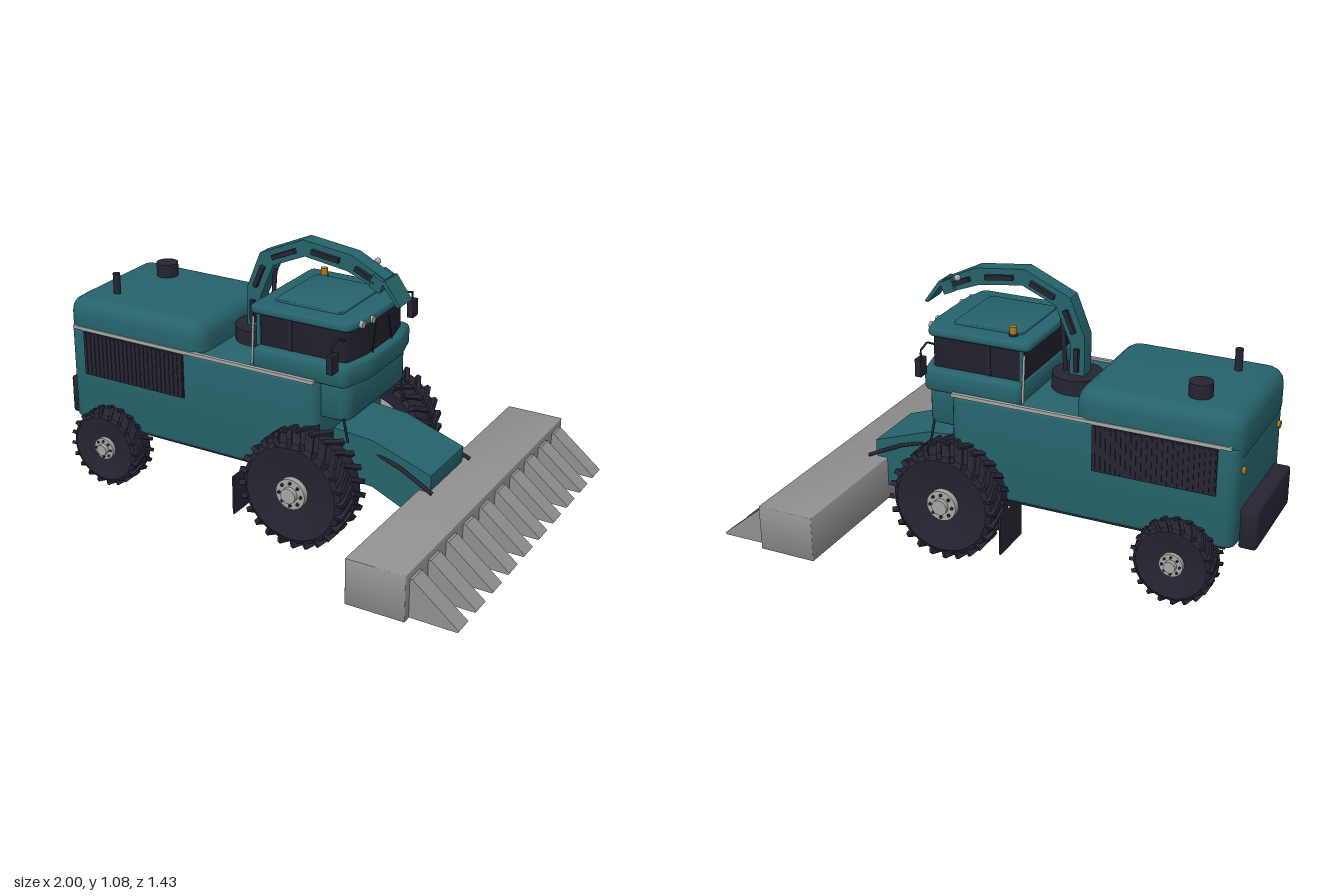
import * as THREE from 'three';
import { mergeGeometries, toCreasedNormals } from 'three/addons/utils/BufferGeometryUtils.js';

export function createModel() {
  const root = new THREE.Group();
  root.name = 'forageHarvester';
  const mat = (name, color, side = THREE.FrontSide) => {
    const m = new THREE.MeshStandardMaterial({ color, side });
    m.name = name;
    return m;
  };
  const teal = mat('teal paint', 0x25636b);
  const dark = mat('dark rubber', 0x252532);
  const glass = mat('tinted glass', 0x201f2b);
  const grey = mat('header grey', 0x8f908d);
  const steel = mat('light steel', 0xa5a5a1);
  const amber = mat('amber', 0xb97a14);

  const add = (name, geo, m, parent = root) => {
    const mesh = new THREE.Mesh(geo, m);
    mesh.name = name;
    parent.add(mesh);
    return mesh;
  };
  // Box from its lower and upper limits
  const box = (name, x0, x1, y0, y1, z0, z1, m, parent) => {
    const mesh = add(name, new THREE.BoxGeometry(x1 - x0, y1 - y0, z1 - z0), m, parent);
    mesh.position.set((x0 + x1) / 2, (y0 + y1) / 2, (z0 + z1) / 2);
    return mesh;
  };
  // Closed shape with rounded corners
  const rounded = (pts, r) => {
    const s = new THREE.Shape();
    const v = pts.map(p => new THREE.Vector2(...p)), n = v.length;
    v.forEach((p, i) => {
      const toward = q => p.clone().add(q.clone().sub(p).setLength(r));
      const a = toward(v[(i + n - 1) % n]), b = toward(v[(i + 1) % n]);
      if (i) s.lineTo(a.x, a.y); else s.moveTo(a.x, a.y);
      s.quadraticCurveTo(p.x, p.y, b.x, b.y);
    });
    s.closePath();
    return s;
  };
  const extrude = (shape, depth, b) => {
    const g = new THREE.ExtrudeGeometry(shape, {
      depth: depth - 2 * b, bevelEnabled: b > 0, bevelThickness: b, bevelSize: b,
      bevelOffset: -b, bevelSegments: 4, curveSegments: 6 });
    return toCreasedNormals(g.translate(0, 0, b), 0.6);
  };
  // Plan outline raised from y0 to y1
  const slab = (name, pts, r, y0, y1, b, m) =>
    add(name, extrude(rounded(pts, r), y1 - y0, b).rotateX(-Math.PI / 2).translate(0, y0, 0), m);
  // Side outline, centred on z
  const profile = (name, pts, width, m, z = 0) =>
    add(name, extrude(new THREE.Shape(pts.map(p => new THREE.Vector2(...p))), width, 0).translate(0, 0, z - width / 2), m);
  const rect = (x0, x1, z) => [[x0, -z], [x1, -z], [x1, z], [x0, z]];
  const rod = (name, pts, r, m) => {
    const path = new THREE.CurvePath();
    for (let i = 1; i < pts.length; i++)
      path.add(new THREE.LineCurve3(new THREE.Vector3(...pts[i - 1]), new THREE.Vector3(...pts[i])));
    return add(name, new THREE.TubeGeometry(path, (pts.length - 1) * 4, r, 8), m);
  };
  const upright = (name, x, z, r, y0, y1, m) => {
    const c = add(name, new THREE.CylinderGeometry(r, r, y1 - y0, 24), m);
    c.position.set(x, (y0 + y1) / 2, z);
    return c;
  };

  // Hull, engine hood and chassis
  slab('hull', rect(-0.935, 0.21, 0.28), 0.05, 0.23, 0.635, 0.02, teal);
  slab('engineHood', rect(-0.945, -0.3, 0.28), 0.08, 0.55, 0.755, 0.06, teal);
  slab('nosePanel', rect(0.1, 0.325, 0.24), 0.05, 0.48, 0.635, 0.02, teal);
  box('chassis', -0.88, 0.2, 0.185, 0.235, -0.2, 0.2, dark);
  slab('rearBumper', rect(-1, -0.93, 0.21), 0.015, 0.21, 0.37, 0.01, dark);
  upright('airIntake', -0.74, -0.14, 0.045, 0.74, 0.81, dark);
  upright('exhaustStack', -0.79, 0.14, 0.015, 0.74, 0.84, dark);

  for (const s of [-1, 1]) {
    // Side grilles with slats, and trim rails
    box('grille', -0.86, -0.38, 0.44, 0.625, s * 0.281 - 0.004, s * 0.281 + 0.004, dark);
    for (let i = 0; i < 24; i++) {
      const x = -0.855 + i * 0.02;
      box('grilleSlat', x, x + 0.01, 0.445, 0.62, s * 0.285 - 0.003, s * 0.285 + 0.003, dark);
    }
    box('trimRail', -0.91, 0.2, 0.628, 0.642, s * 0.276 - 0.008, s * 0.276 + 0.008, steel);
    // Tail lamps and mud flaps
    const lamp = add('tailLamp', new THREE.CylinderGeometry(0.014, 0.014, 0.02, 16).rotateZ(Math.PI / 2), amber);
    lamp.position.set(-0.936, 0.53, s * 0.215);
    box('mudFlap', -0.074, -0.066, 0.08, 0.24, s * 0.33 - 0.09, s * 0.33 + 0.09, dark);
  }

  // Cab with bowed windscreen
  const cabPlan = (x0, x1, bow, z) => [[x0, -z], [x1, -z], [x1 + bow, -z * 0.5], [x1 + bow, z * 0.5], [x1, z], [x0, z]];
  slab('cabBase', cabPlan(-0.08, 0.325, 0.035, 0.265), 0.03, 0.625, 0.715, 0.02, teal);
  slab('cabGlass', cabPlan(-0.07, 0.305, 0.025, 0.222), 0.02, 0.7, 0.845, 0, glass);
  slab('cabRoof', cabPlan(-0.105, 0.32, 0.025, 0.238), 0.03, 0.838, 0.872, 0.012, teal);
  slab('roofHatch', rect(-0.04, 0.25, 0.16), 0.02, 0.865, 0.882, 0.004, teal);
  for (const s of [-1, 1]) {
    box('rearPillar', -0.076, -0.06, 0.7, 0.845, s * 0.22 - 0.008, s * 0.22 + 0.008, teal);
    box('doorPillar', 0.06, 0.075, 0.71, 0.84, s * 0.222 - 0.004, s * 0.222 + 0.004, dark);
    rod('grabRail', [[-0.085, 0.64, s * 0.25], [-0.085, 0.83, s * 0.235]], 0.005, steel);
    rod('wiper', [[0.338, 0.71, s * 0.08], [0.336, 0.82, s * 0.05]], 0.003, dark);
    rod('stepRail', [[0.3, 0.5, s * 0.23], [0.32, 0.4, s * 0.23]], 0.005, dark);
    // Mirrors
    rod('mirrorArm', [[0.3, 0.805, s * 0.225], [0.3, 0.83, s * 0.275], [0.3, 0.815, s * 0.325], [0.3, 0.78, s * 0.325]], 0.004, dark);
    box('mirror', 0.29, 0.315, 0.715, 0.785, s * 0.323 - 0.023, s * 0.323 + 0.023, dark);
    // Roof lamps
    for (const z of [0.1, 0.165]) {
      const lamp = add('roofLamp', new THREE.CylinderGeometry(0.014, 0.014, 0.025, 16).rotateZ(Math.PI / 2), steel);
      lamp.position.set(z < 0.13 ? 0.34 : 0.333, 0.855, s * z);
    }
  }
  upright('beaconBase', -0.01, -0.17, 0.017, 0.865, 0.88, dark);
  upright('beacon', -0.01, -0.17, 0.014, 0.88, 0.908, amber);

  // Discharge spout on its turntable
  upright('turntable', -0.2, 0, 0.1, 0.62, 0.695, dark);
  const outer = [[-0.24, 0.68], [-0.24, 0.85], [-0.18, 1.0], [0.01, 1.085], [0.22, 1.06], [0.36, 0.99]];
  const inner = [[-0.18, 0.68], [-0.18, 0.82], [-0.12, 0.96], [0.02, 1.02], [0.2, 0.995], [0.345, 0.94]];
  profile('spout', [...inner, ...outer.slice().reverse()], 0.066, teal);
  profile('spoutFlap', [[0.35, 0.985], [0.42, 0.895], [0.432, 0.9], [0.368, 0.99]], 0.1, teal);
  profile('spoutMouth', [[0.3, 0.958], [0.345, 0.938], [0.362, 0.985], [0.318, 1.008]], 0.1, teal);
  for (let i = 0; i < outer.length - 1; i++) {
    const mid = k => [(outer[k][0] + inner[k][0]) / 2, (outer[k][1] + inner[k][1]) / 2];
    const a = mid(i), b = mid(i + 1), dx = b[0] - a[0], dy = b[1] - a[1];
    const slot = add('spoutBracket', new THREE.BoxGeometry(Math.hypot(dx, dy) * 0.6, 0.018, 0.1), dark);
    slot.position.set((a[0] + b[0]) / 2, (a[1] + b[1]) / 2, 0);
    slot.rotation.z = Math.atan2(dy, dx);
  }
  rod('spoutRam', [[-0.15, 0.68, 0], [-0.13, 0.94, 0]], 0.009, dark);
  const spoutLamp = add('spoutLamp', new THREE.SphereGeometry(0.013, 14, 10), steel);
  spoutLamp.position.set(0.28, 1.02, -0.06);

  // Feeder housing and lift rams
  profile('feederHouse', [[0.2, 0.2], [0.38, 0.19], [0.58, 0.1], [0.625, 0.25], [0.625, 0.3], [0.38, 0.385], [0.2, 0.4]], 0.285, teal);
  for (const s of [-1, 1])
    rod('liftRam', [[0.36, 0.34, s * 0.13], [0.5, 0.305, s * 0.15], [0.645, 0.24, s * 0.168]], 0.008, dark);

  // Header with ten row dividers
  slab('header', rect(0.575, 0.81, 0.715), 0.006, 0.045, 0.23, 0.004, grey);
  for (let i = 0; i < 10; i++)
    profile('rowDivider', [[0.8, 0.05], [0.995, 0.048], [1, 0.055], [0.82, 0.203], [0.8, 0.203]], 0.075, grey, (i - 4.5) * 0.1435);

  // Wheels: lathed tyre, chevron lugs, hub and bolts
  const wheel = (name, x, y, z, r, w, hubR, lugs, s) => {
    const g = new THREE.Group();
    g.name = name;
    const tyre = [[0.6, -0.45], [0.84, -0.5], [0.92, -0.44], [0.95, -0.3], [0.95, 0.3], [0.92, 0.44], [0.84, 0.5], [0.6, 0.45], [0.35, 0.36], [0, 0.36]];
    add('tyre', toCreasedNormals(new THREE.LatheGeometry(tyre.map(p => new THREE.Vector2(p[0] * r, p[1] * w)), 40).rotateX(Math.PI / 2), 0.5), dark, g);
    const parts = [];
    for (let i = 0; i < lugs * 2; i++) {
      const e = i % 2 ? 1 : -1;
      parts.push(new THREE.BoxGeometry(r * 0.085, r * 0.13, w * 0.56)
        .rotateY(e * 0.5).translate(0, r * 0.93, e * w * 0.245).rotateZ(i * Math.PI / lugs));
    }
    add('treadLugs', mergeGeometries(parts), dark, g);
    const disc = (n, radius, z0, z1, m) =>
      add(n, new THREE.CylinderGeometry(radius, radius, z1 - z0, 28).rotateX(Math.PI / 2).translate(0, 0, (z0 + z1) / 2), m, g);
    disc('innerRim', r * 0.61, -w * 0.42, -w * 0.36, steel);
    disc('hub', hubR, w * 0.3, w * 0.5, steel);
    disc('hubCap', hubR * 0.5, w * 0.5, w * 0.5 + 0.018, steel);
    for (let i = 0; i < 8; i++) {
      const a = i * Math.PI / 4;
      disc('wheelBolt', hubR * 0.1, w * 0.5, w * 0.5 + 0.006, dark).position.set(Math.cos(a) * hubR * 0.75, Math.sin(a) * hubR * 0.75, 0);
    }
    g.position.set(x, y, s * z);
    if (s < 0) g.rotation.y = Math.PI;
    root.add(g);
  };
  for (const s of [-1, 1]) {
    wheel('frontWheel', 0.18, 0.23, 0.33, 0.226, 0.175, 0.062, 24, s);
    wheel('rearWheel', -0.73, 0.165, 0.3, 0.162, 0.12, 0.046, 20, s);
  }
  for (const [x, y, z] of [[0.18, 0.23, 0.28], [-0.73, 0.165, 0.26]])
    rod('axle', [[x, y, -z], [x, y, z]], 0.035, dark);

  return root;
}
